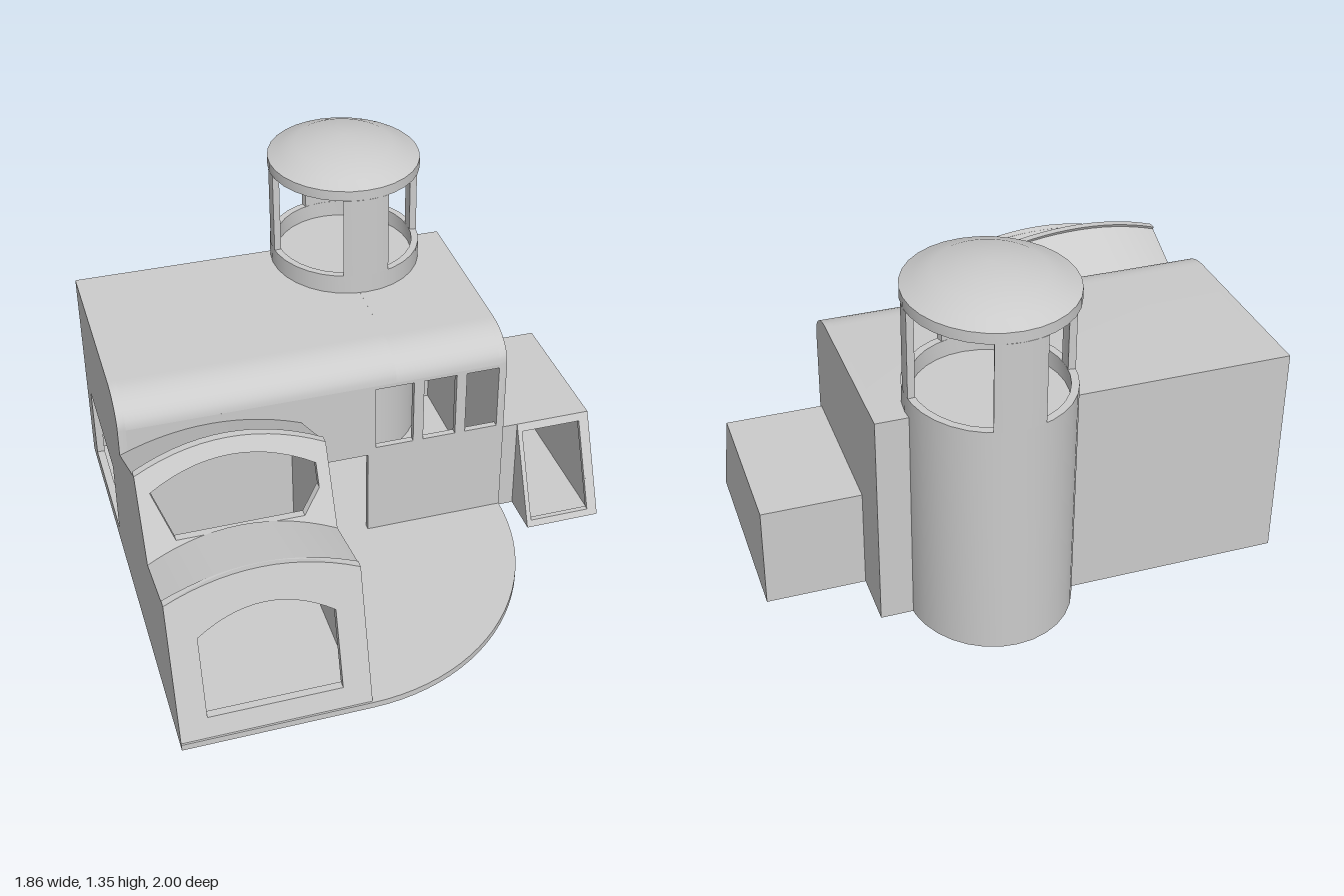
import * as THREE from 'three';
import { toCreasedNormals } from 'three/addons/utils/BufferGeometryUtils.js';

const material = new THREE.MeshStandardMaterial({ color: 0xcccccc, side: THREE.DoubleSide });
const outline = (pts) => pts.map(([x, y]) => new THREE.Vector2(x, y));

export function createModel() {
  const model = new THREE.Group();

  const add = (parent, name, geometry) => {
    const mesh = new THREE.Mesh(toCreasedNormals(geometry, 0.5), material);
    mesh.name = name;
    parent.add(mesh);
    return mesh;
  };
  const group = (name) => {
    const g = new THREE.Group();
    g.name = name;
    model.add(g);
    return g;
  };
  const slab = (pts, holes, depth) => {
    const shape = new THREE.Shape(outline(pts));
    holes.forEach((h) => shape.holes.push(new THREE.Path(outline(h))));
    return new THREE.ExtrudeGeometry(shape, { depth, bevelEnabled: false });
  };
  // Box given by its limits
  const box = (parent, name, x0, x1, y0, y1, z0, z1) =>
    add(parent, name, new THREE.BoxGeometry(x1 - x0, y1 - y0, z1 - z0)
      .translate((x0 + x1) / 2, (y0 + y1) / 2, (z0 + z1) / 2));
  // Side profile in (z, y), swept from x0 to x1
  const sideSlab = (parent, name, pts, x0, x1, holes = []) =>
    add(parent, name, slab(pts, holes, x1 - x0).rotateY(-Math.PI / 2).translate(x1, 0, 0));
  const rect = (x0, x1, y0, y1) => [[x0, y0], [x1, y0], [x1, y1], [x0, y1]];
  // Vertex rule
  const warp = (geometry, rule) => {
    const p = geometry.attributes.position;
    for (let i = 0; i < p.count; i++) p.setXYZ(i, ...rule(p.getX(i), p.getY(i), p.getZ(i)));
    return geometry;
  };
  // Front panel leaning back: z falls by lean per unit of height
  const leaningPanel = (parent, name, pts, hole, zBase, yBase, lean, depth = 0.03) =>
    add(parent, name, warp(slab(pts, [hole], depth),
      (x, y, z) => [x, y, z - depth + zBase - lean * (y - yBase)]));
  // Points along an arch from xa to xb, springing at y and rising by rise
  const arch = (xa, xb, y, rise, n = 14) => Array.from({ length: n + 1 }, (_, i) => {
    const t = i / n;
    return [xa + (xb - xa) * t, y + rise * 4 * t * (1 - t)];
  });

  // Base: one plate with a rounded front corner
  const basePts = [[-0.93, -0.77], [0.12, -0.77], [0.12, -0.72], [0.56, -0.72], [0.56, 0.1]];
  for (let i = 1; i <= 24; i++) {
    const a = (i / 24) * Math.PI / 2;
    basePts.push([-0.25 + 0.81 * Math.cos(a), 0.1 + 0.9 * Math.sin(a)]);
  }
  basePts.push([-0.93, 1]);
  add(model, 'basePlate', slab(basePts.map(([x, z]) => [x, -z]), [], 0.025).rotateX(-Math.PI / 2));

  // Main hall: hollow, with a rounded front eave
  const hall = group('mainHall');
  const eave = [];
  for (let i = 0; i <= 10; i++) {
    const a = (i / 10) * Math.PI / 2;
    eave.push([-0.06 + 0.16 * Math.cos(a), 0.705 + 0.112 * Math.sin(a)]);
  }
  const wallProfile = (back) => [[back, 0], [0.1, 0], ...eave, [back, 0.83]];
  const roofProfile = (back) => [...eave, [back, 0.83], [back, 0.8],
    ...eave.map(([z, y]) => [z - 0.025, y - 0.025]).reverse()];
  sideSlab(hall, 'sideWallWithWindow', wallProfile(-0.77), -0.93, -0.9, [rect(-0.66, -0.155, 0.06, 0.36)]);
  sideSlab(hall, 'sideWall', wallProfile(-0.72), 0.53, 0.56);
  sideSlab(hall, 'roofWide', roofProfile(-0.77), -0.93, 0.12);
  sideSlab(hall, 'roofNarrow', roofProfile(-0.72), 0.12, 0.56);
  box(hall, 'backWall', -0.93, -0.1, 0, 0.82, -0.77, -0.74);
  box(hall, 'backWallShort', 0.4, 0.56, 0, 0.82, -0.72, -0.69);
  const openings = [[-0.25, 0.01, 0.025, 0.39], [0.04, 0.19, 0.42, 0.69],
    [0.23, 0.36, 0.42, 0.69], [0.4, 0.53, 0.42, 0.69]].map((r) => rect(...r));
  add(hall, 'frontWall', slab(rect(-0.93, 0.56, 0, 0.705), openings, 0.025).translate(0, 0, 0.075));

  // Two-tier front wing with arched roofs
  const wing = group('archedWing');
  const wingProfile = [[0.1, 0], [1, 0], [0.85, 0.525], [0.57, 0.47], [0.43, 0.75], [0.1, 0.6]];
  sideSlab(wing, 'wingWallRight', wingProfile, -0.93, -0.89);
  sideSlab(wing, 'wingWallLeft', wingProfile, -0.29, -0.25);
  leaningPanel(wing, 'lowerFront',
    [[-0.93, 0], [-0.25, 0], ...arch(-0.25, -0.93, 0.525, 0.065)],
    [[-0.83, 0.1], [-0.35, 0.1], ...arch(-0.35, -0.83, 0.39, 0.08)], 1, 0, 0.286);
  leaningPanel(wing, 'upperFront',
    [[-0.93, 0.47], [-0.25, 0.47], ...arch(-0.25, -0.93, 0.75, 0.07)],
    [[-0.82, 0.53], [-0.36, 0.53], [-0.295, 0.61], ...arch(-0.295, -0.885, 0.69, 0.075)], 0.57, 0.47, 0.5);
  // Arched strip running from front eave to back eave, ends cut to the leaning planes
  const archedRoof = (name, zF, yF, leanF, zB, yB, leanB) => {
    const strip = [...arch(-0.25, -0.93, 0, 0.07), ...arch(-0.93, -0.25, -0.02, 0.07)];
    add(wing, name, warp(slab(strip, [], 1), (x, y, t) => [
      x,
      yB + (yF - yB) * t + y,
      (zB - leanB * y) * (1 - t) + (zF - leanF * y) * t,
    ]));
  };
  archedRoof('lowerRoof', 0.85, 0.525, 0.286, 0.57, 0.47, 0.5);
  archedRoof('upperRoof', 0.43, 0.75, 0.5, 0.1, 0.6, 0);

  // Side annex with a leaning open front
  const annex = group('sideAnnex');
  const annexProfile = [[-0.51, 0], [0.25, 0], [0.08, 0.39], [-0.51, 0.39]];
  sideSlab(annex, 'annexInnerWall', annexProfile, 0.627, 0.642);
  sideSlab(annex, 'annexOuterWall', annexProfile, 0.89, 0.925);
  box(annex, 'annexLink', 0.56, 0.63, 0, 0.39, -0.51, 0.08);
  box(annex, 'annexRoof', 0.63, 0.925, 0.365, 0.39, -0.51, 0.08);
  box(annex, 'annexBack', 0.63, 0.925, 0, 0.39, -0.51, -0.485);
  box(annex, 'annexFloor', 0.63, 0.925, 0, 0.02, -0.51, 0.235);
  leaningPanel(annex, 'annexFront', rect(0.627, 0.925, 0, 0.39),
    rect(0.645, 0.885, 0.025, 0.36), 0.25, 0, 0.436, 0.02);

  // Lookout tower, slightly oval
  const tower = group('tower');
  tower.position.set(0.148, 0, -0.682);
  tower.scale.z = 1.07;
  const R = 0.297, r = 0.27;
  const lathe = (name, pts) => add(tower, name, new THREE.LatheGeometry(outline(pts), 32));
  lathe('towerBody', [[0, 0], [R, 0], [R, 0.9], [r, 0.9], [r, 0.835], [0, 0.835]]);
  lathe('towerCap', [[0, 1.325], [0.19, 1.295], [r, 1.25], [r, 1.23], [R, 1.23], [R, 1.27],
    [0.25, 1.292], [0.19, 1.32], [0.1, 1.335], [0, 1.35]]);
  for (let i = 0; i < 4; i++) {
    const half = i % 2 ? 0.31 : 0.1;
    const mid = i * Math.PI / 2;
    const shape = new THREE.Shape();
    shape.absarc(0, 0, R, mid - half, mid + half, false);
    shape.absarc(0, 0, r, mid + half, mid - half, true);
    add(tower, 'towerPillar', new THREE.ExtrudeGeometry(shape,
      { depth: 0.33, bevelEnabled: false, curveSegments: 6 }).rotateX(-Math.PI / 2).translate(0, 0.9, 0));
  }
  return model;
}
